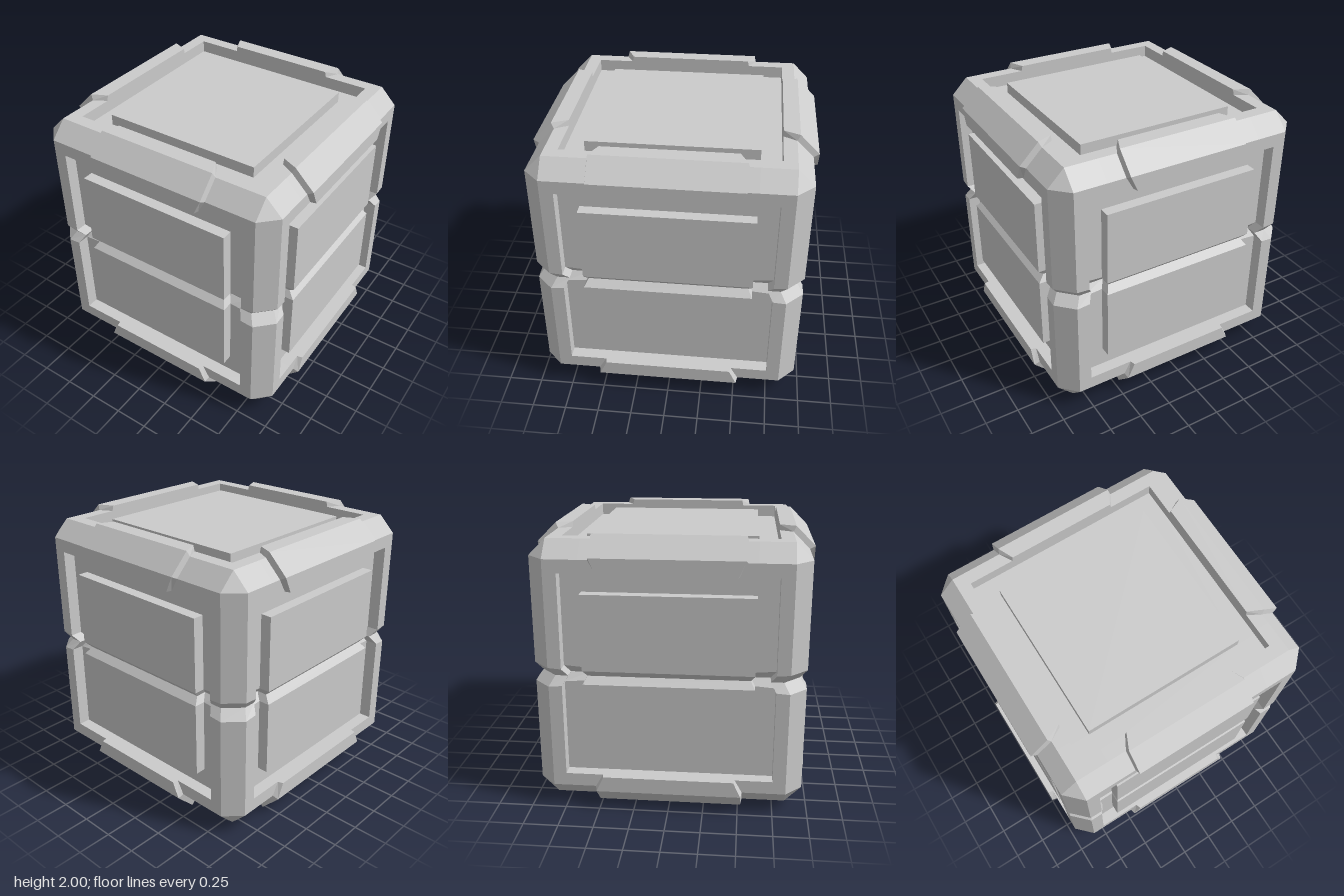
import * as THREE from 'three';

const material = new THREE.MeshStandardMaterial({ color: 0xcccccc, flatShading: true });

// Rings of a face from the rim inwards: distance from the centre and height.
// -1 is the outer end of the bevel, then rim, wall, channel floor, panel wall, panel.
const HALF = [0.84, 0.745, 0.745, 0.6, 0.6];
const HEIGHT = [0.96, 0.96, 0.87, 0.87, 0.95];
const OUTER = 0.96, INNER = 0.84;

const stations = (bevelLow, bevelHigh) => {
  const list = [];
  if (bevelLow) list.push({ p: -OUTER, k: -1 });
  for (let k = 0; k < 5; k++) list.push({ p: -HALF[k], k });
  for (let k = 4; k >= 0; k--) list.push({ p: HALF[k], k });
  if (bevelHigh) list.push({ p: OUTER, k: -1 });
  return list;
};

function meshFromQuads(name, quads) {
  const pos = [];
  const tri = (a, b, c) => {
    const area = b.clone().sub(a).cross(c.clone().sub(a)).length();
    if (area > 1e-7) pos.push(...a, ...b, ...c);
  };
  for (const [a, b, c, d] of quads) {
    tri(a, b, c);
    tri(a, c, d);
  }
  const geo = new THREE.BufferGeometry();
  geo.setAttribute('position', new THREE.Float32BufferAttribute(pos, 3));
  geo.computeVertexNormals();
  const mesh = new THREE.Mesh(geo, material);
  mesh.name = name;
  return mesh;
}

function gridQuads(cols, rows, point) {
  const quads = [];
  for (let i = 0; i + 1 < cols.length; i++) {
    for (let j = 0; j + 1 < rows.length; j++) {
      quads.push([point(cols[i], rows[j]), point(cols[i + 1], rows[j]),
        point(cols[i + 1], rows[j + 1]), point(cols[i], rows[j + 1])]);
    }
  }
  return quads;
}

// Point on a face; a row with a groove value belongs to the belt at mid height.
function facePoint(col, row) {
  if (row.groove !== undefined) {
    const n = col.k < 0 ? INNER : HEIGHT[col.k];
    const half = 0.05 + 0.02 * Math.min(1, (Math.abs(col.p) - 0.6) / 0.24);
    const s = row.groove === 0 ? 0.95 : 1;
    return new THREE.Vector3(col.p * s, row.groove * half, n * s);
  }
  if (row.k < 0) { // bevel row, closing to a point at the corner
    return new THREE.Vector3(col.k < 0 ? Math.sign(col.p) * INNER : col.p, row.p, INNER);
  }
  const k = Math.min(col.k, row.k);
  return new THREE.Vector3(col.p, row.p, k < 0 ? INNER : HEIGHT[k]);
}

// Side wall with framed panel, belt groove and bevels
function sideWall() {
  const rows = stations(true, true);
  rows.splice(6, 0, { groove: -1 }, { groove: 0 }, { groove: 1 });
  return meshFromQuads('sideWall', gridQuads(stations(false, true), rows, facePoint));
}

// Top or bottom with framed panel
function endPanel(name) {
  return meshFromQuads(name, gridQuads(stations(false, false), stations(false, false), facePoint));
}

// Raised plate wrapped over a horizontal edge, tapering at both ends
function edgePlate(halfWidth) {
  const outer = [[1, 0.745], [1, 0.86], [0.86, 1], [0.745, 1]];
  const base = [[0.96, 0.745], [0.96, 0.84], [0.84, 0.96], [0.745, 0.96]];
  const taper = [0.053, 0, 0, 0.053];
  const place = (profile, side, extra) => profile.map(([y, z], j) =>
    new THREE.Vector3(side * (halfWidth - taper[j] + extra), y, z));
  const lo = place(outer, -1, -0.005), ro = place(outer, 1, -0.005);
  const lb = place(base, -1, 0.005), rb = place(base, 1, 0.005);
  const quads = [[lo[0], ro[0], rb[0], lb[0]], [lo[3], lb[3], rb[3], ro[3]]];
  for (let j = 0; j < 3; j++) {
    quads.push([lo[j], lo[j + 1], ro[j + 1], ro[j]]);
    quads.push([ro[j], ro[j + 1], rb[j + 1], rb[j]]);
    quads.push([lo[j], lb[j], lb[j + 1], lo[j + 1]]);
  }
  return meshFromQuads('edgePlate', quads);
}

export function createModel() {
  const model = new THREE.Group();
  model.name = 'crate';
  const body = new THREE.Group();
  body.name = 'body';
  body.position.y = 1;
  model.add(body);

  for (let q = 0; q < 4; q++) {
    const wall = sideWall();
    wall.rotation.y = q * Math.PI / 2;
    body.add(wall);
  }

  const top = endPanel('topPanel');
  top.rotation.x = -Math.PI / 2;
  const bottom = endPanel('bottomPanel');
  bottom.rotation.x = Math.PI / 2;
  body.add(top, bottom);

  // Plates on the four upper and four lower edges
  for (const [name, flip] of [['upperPlates', 0], ['lowerPlates', Math.PI]]) {
    const plates = new THREE.Group();
    plates.name = name;
    plates.rotation.z = flip;
    for (let q = 0; q < 4; q++) {
      const plate = edgePlate(q % 2 ? 0.525 : 0.46);
      plate.rotation.y = q * Math.PI / 2;
      plates.add(plate);
    }
    body.add(plates);
  }
  return model;
}
